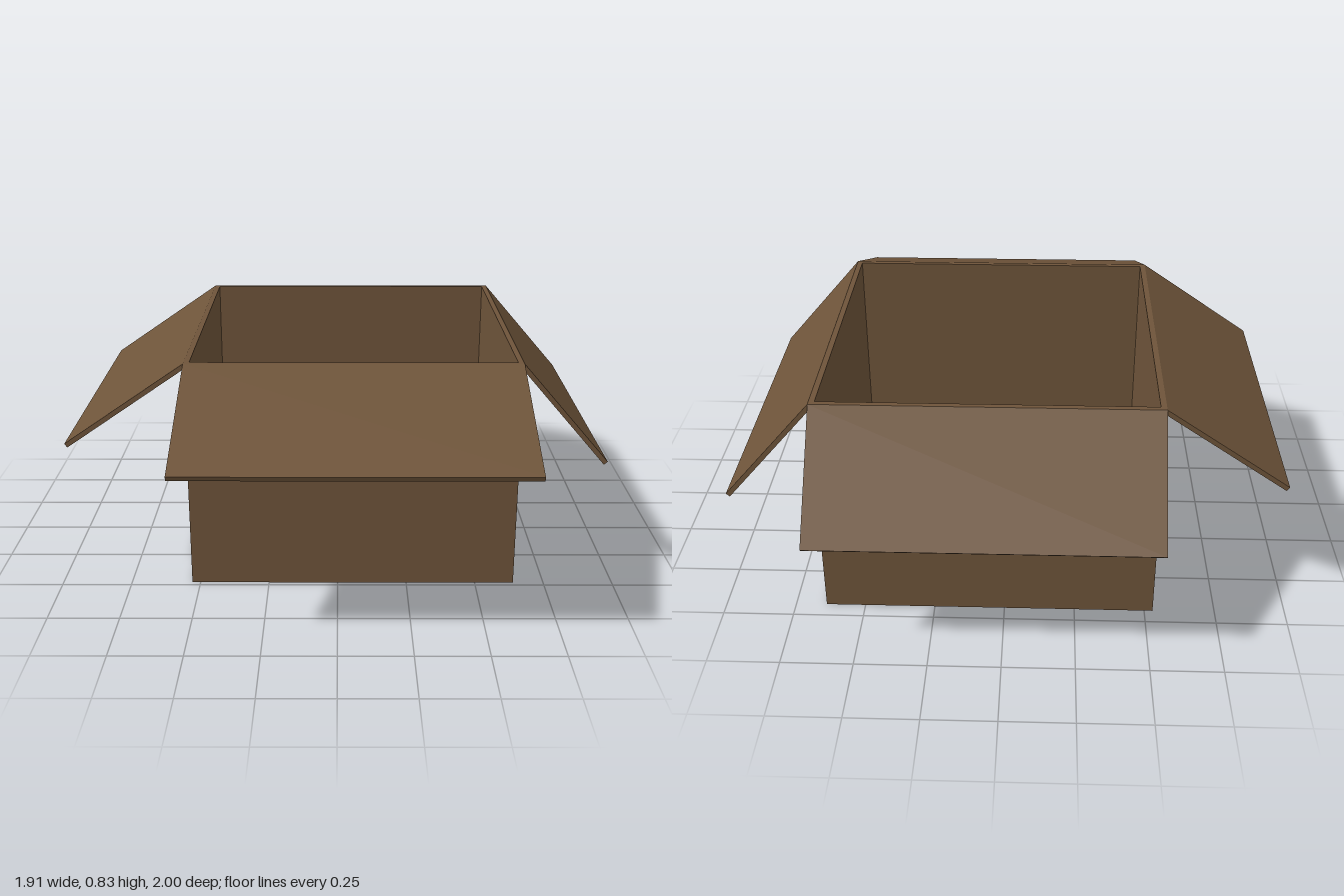
import * as THREE from 'three';

// Outer limits of the carton body
const X0 = -0.53, X1 = 0.64, Z0 = -0.69, Z1 = 0.48, H = 0.832;
const WALL = 0.02, CARD = 0.017;
const W = X1 - X0, D = Z1 - Z0, CX = (X0 + X1) / 2, CZ = (Z0 + Z1) / 2;

export function createModel() {
  const box = new THREE.Group();
  box.name = 'openCardboardBox';
  const cardboard = new THREE.MeshStandardMaterial({ color: 0x6e543a });
  cardboard.name = 'brown cardboard';

  const add = (name, geometry, parent = box) => {
    const mesh = new THREE.Mesh(geometry, cardboard);
    mesh.name = name;
    parent.add(mesh);
    return mesh;
  };

  // Four walls as one extruded rectangular ring
  const rect = (Kind, w, d) => new Kind([[-1, -1], [1, -1], [1, 1], [-1, 1]]
    .map(([x, y]) => new THREE.Vector2(x * w / 2, y * d / 2)));
  const ring = rect(THREE.Shape, W, D);
  ring.holes.push(rect(THREE.Path, W - 2 * WALL, D - 2 * WALL));
  const wallGeometry = new THREE.ExtrudeGeometry(ring, { depth: H, bevelEnabled: false });
  wallGeometry.rotateX(-Math.PI / 2);
  add('walls', wallGeometry).position.set(CX, 0, CZ);

  // Bottom panel
  add('floor', new THREE.BoxGeometry(W - 2 * WALL, CARD, D - 2 * WALL))
    .position.set(CX, CARD / 2, CZ);

  // Flap hinged on a top edge; reach is outward, drop is downward
  const flap = (name, x, z, turn, width, reach, drop) => {
    const hinge = new THREE.Group();
    hinge.name = name + 'Hinge';
    hinge.position.set(x, H, z);
    hinge.rotation.y = turn;
    const length = Math.hypot(reach, drop);
    const geometry = new THREE.BoxGeometry(length, CARD, width);
    geometry.translate(length / 2, -CARD / 2, 0);
    add(name, geometry, hinge).rotation.z = -Math.atan2(drop, reach);
    box.add(hinge);
  };
  flap('leftFlap', X1, CZ, 0, D, 0.31, 0.358);
  flap('rightFlap', X0, CZ, Math.PI, D, 0.427, 0.292);
  flap('frontFlap', CX, Z1, -Math.PI / 2, W, 0.52, 0.205);
  flap('backFlap', CX, Z0, Math.PI / 2, W, 0.31, 0.358);

  return box;
}
